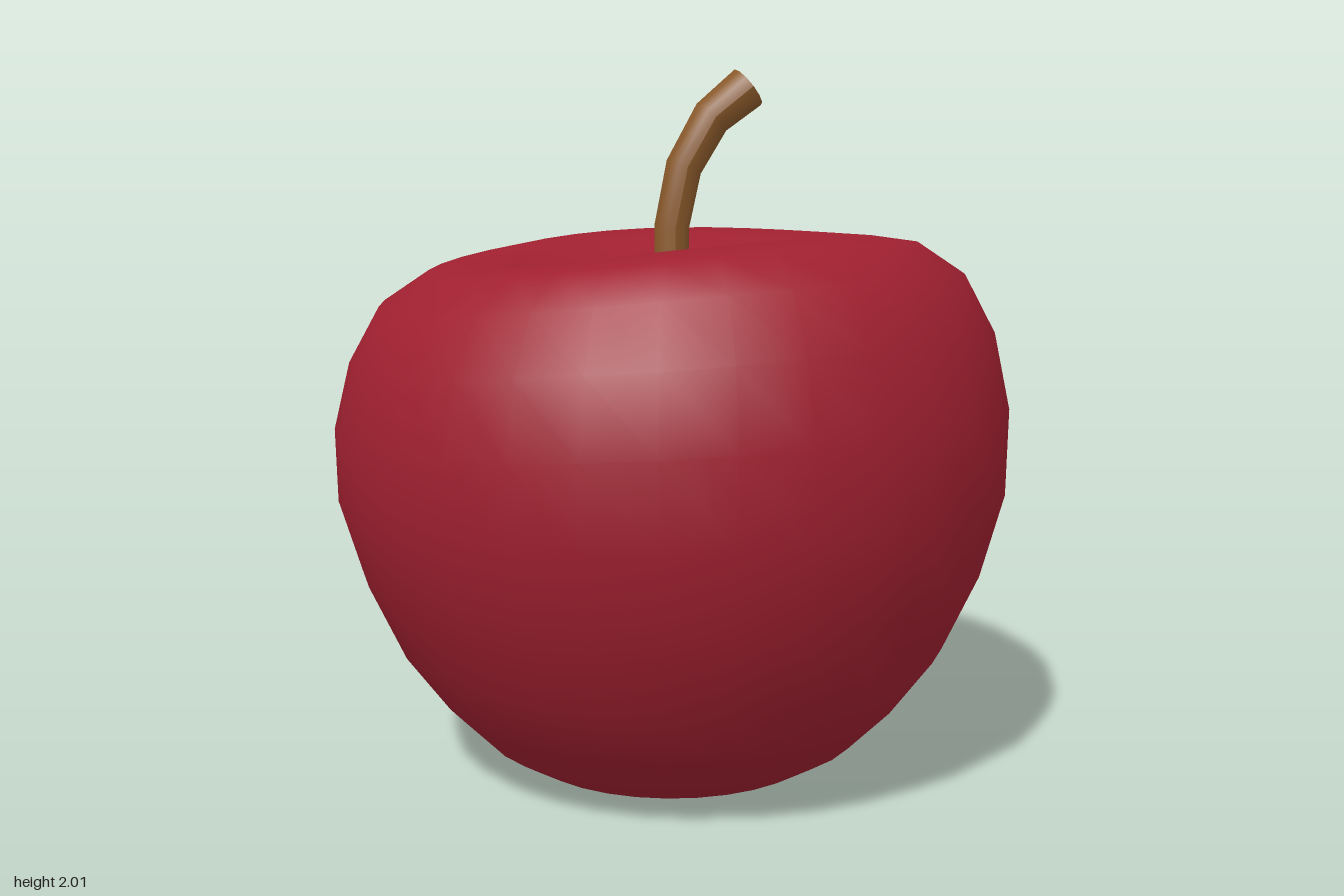
import * as THREE from 'three';
import { mergeVertices } from 'three/addons/utils/BufferGeometryUtils.js';

// Fruit body: a lathe with a dimple at each end and one shoulder that droops
function createBody() {
  const profile = [
    [0, 0.12], [0.12, 0.09], [0.22, 0.035], [0.33, 0.005], [0.43, 0.03], [0.55, 0.1],
    [0.67, 0.22], [0.79, 0.38], [0.89, 0.595], [0.955, 0.83], [0.96, 1.07], [0.915, 1.28],
    [0.83, 1.44], [0.7, 1.527], [0.57, 1.545], [0.44, 1.525], [0.3, 1.465], [0.15, 1.395], [0, 1.365],
  ].map(([r, y]) => new THREE.Vector2(r, y));
  let geometry = new THREE.LatheGeometry(profile, 32);
  geometry.deleteAttribute('uv');
  geometry.deleteAttribute('normal');
  geometry = mergeVertices(geometry, 1e-4); // close the seam for smooth shading

  // Lower the -x shoulder, fading out towards the base and the core
  const pos = geometry.attributes.position;
  for (let i = 0; i < pos.count; i++) {
    const x = pos.getX(i), y = pos.getY(i), r = Math.hypot(x, pos.getZ(i));
    if (r < 1e-3) continue;
    const c = x / r;
    const weight = THREE.MathUtils.smoothstep(y, 0.5, 1.42) * Math.min(1, r / 0.65);
    pos.setY(i, y + 0.045 * weight * c * (1 - c));
  }
  geometry.computeVertexNormals();

  const mesh = new THREE.Mesh(geometry, new THREE.MeshStandardMaterial({ color: 0xa02030 }));
  mesh.name = 'fruitBody';
  return mesh;
}

// Stem: a capped cylinder bent along a curve, widening to the tip
function createStem() {
  const curve = new THREE.CatmullRomCurve3([
    [0, 1.34, 0], [0, 1.57, 0], [0.035, 1.74, 0.005], [0.115, 1.88, 0.016], [0.22, 1.965, 0.032],
  ].map((p) => new THREE.Vector3(...p)));
  const side = new THREE.Vector3(-0.14, 0, 0.99).normalize();
  const geometry = new THREE.CylinderGeometry(1, 1, 1, 12, 4);
  const pos = geometry.attributes.position;
  const v = new THREE.Vector3();
  for (let i = 0; i < pos.count; i++) {
    v.fromBufferAttribute(pos, i);
    const t = v.y + 0.5;
    const radius = 0.05 + 0.013 * t * t;
    const across = curve.getTangent(t).cross(side).normalize();
    const p = curve.getPoint(t)
      .addScaledVector(across, v.x * radius)
      .addScaledVector(side, v.z * radius);
    pos.setXYZ(i, p.x, p.y, p.z);
  }
  geometry.computeVertexNormals();

  const mesh = new THREE.Mesh(geometry, new THREE.MeshStandardMaterial({ color: 0x8b5a2b }));
  mesh.name = 'stem';
  return mesh;
}

export function createModel() {
  const group = new THREE.Group();
  group.name = 'apple';
  group.add(createBody(), createStem());
  return group;
}
